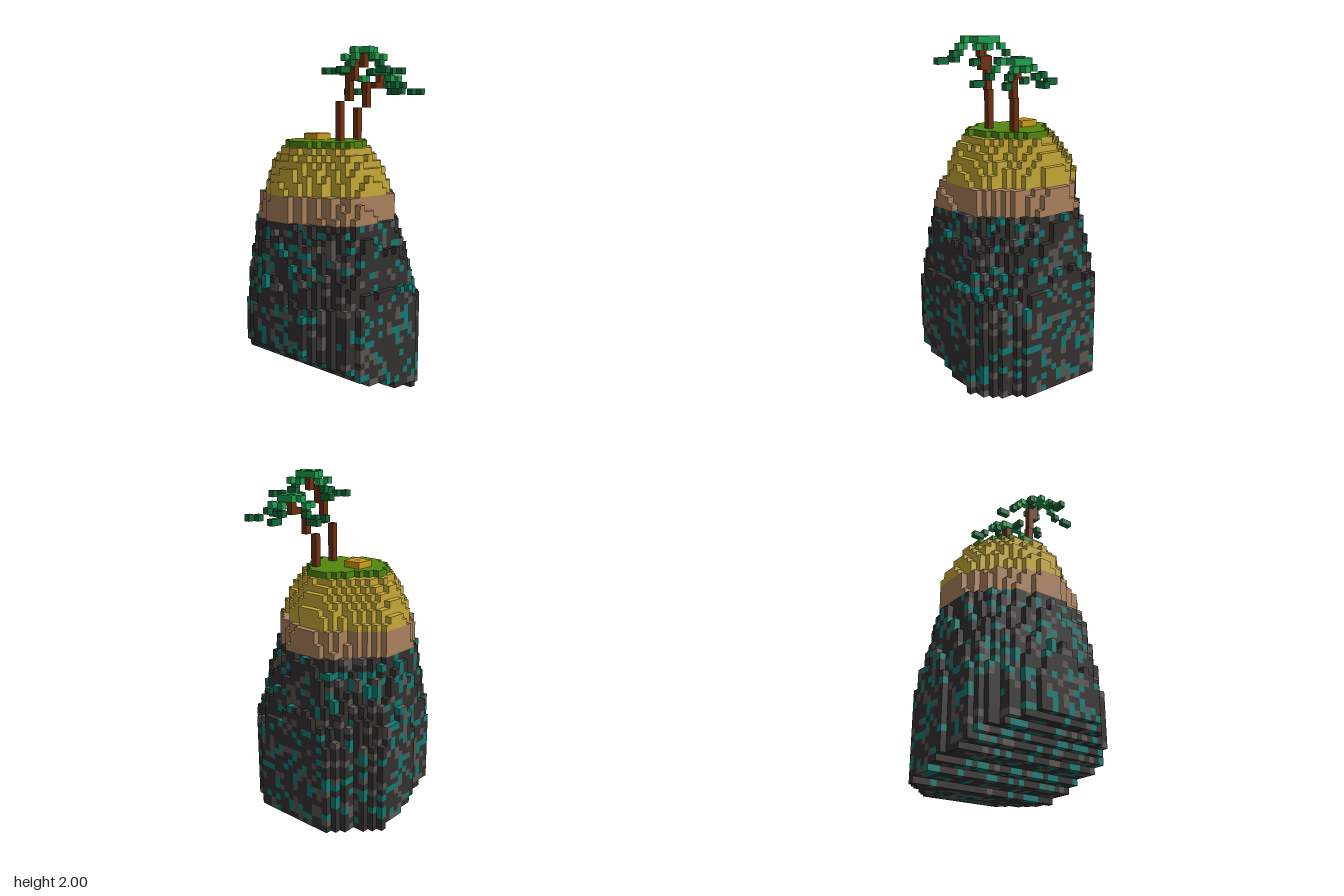
import * as THREE from 'three';

const V = 2 / 53; // voxel edge
const COLORS = {
  rock: 0x343130, greyRock: 0x595653, tealRock: 0x117a72, soil: 0xab825d, sand: 0xc8aa38,
  grass: 0x53880e, gold: 0xcd9f15, gem: 0xc9363c, trunk: 0x6f3110, leaf: 0x1ca350, leafTip: 0x126a38,
};

// Island outlines: radius in voxels at even angles, from +x towards +z
const BASE = [
  13, 13.25, 14.07, 14.43, 13.43, 13.83, 13.53, 12.74, 12.5, 12.74, 12.45, 12.7, 12.2, 13.5, 13, 12.4,
  13, 13.25, 14.07, 13.5, 13, 13.83, 13.53, 12.74, 12.5, 12.74, 13.53, 13.83, 14, 14.43, 14.07, 13.25,
];
const SOIL = [10.3, 11.8, 10.9, 9.9, 10.5, 10.3, 10.6, 10.8, 11, 10.8, 9.6, 11, 10.5, 10.1, 10, 10.8];
const SAND = [9.7, 10.2, 8.8, 9.6, 10.3, 9.8, 9.2, 10.1, 10.9, 10.7, 9.3, 10, 9.5, 9, 8.5, 9.8];
const GRASS = [6.2, 7.1, 6, 6.2, 6.3, 6.5, 6.4, 6.7, 7, 5.6, 5.2, 6.2, 6.4, 6.3, 5.6, 5.7];

const hash = (x, y, z) => {
  let h = Math.imul(x + 71, 374761393) ^ Math.imul(y + 13, 668265263) ^ Math.imul(z + 37, 1274126177);
  h = Math.imul(h ^ (h >>> 13), 1103515245);
  h = Math.imul(h ^ (h >>> 15), 2246822519);
  return ((h ^ (h >>> 16)) >>> 0) / 4294967296;
};

const radiusAt = (outline, x, z) => {
  const count = outline.length;
  const a = ((Math.atan2(z, x) / (Math.PI * 2) + 1) % 1) * count;
  const i = Math.floor(a) % count;
  return THREE.MathUtils.lerp(outline[i], outline[(i + 1) % count], a - Math.floor(a));
};

// Radius of the island at a layer, blended between outlines
function islandRadius(layer, x, z) {
  const base = radiusAt(BASE, x, z), soil = radiusAt(SOIL, x, z);
  if (layer < 14) return base;
  if (layer < 27) return THREE.MathUtils.lerp(base, soil + 0.4, (layer - 13) / 13);
  const sand = radiusAt(SAND, x, z);
  if (layer < 31) return THREE.MathUtils.lerp(soil, sand, (layer - 27) / 8);
  return THREE.MathUtils.lerp(sand, radiusAt(GRASS, x, z), Math.pow((layer - 31) / 7, 1.6));
}

// Underside rises in steps towards the front
function bottomLayer(z) {
  if (z <= -6) return 0;
  if (z <= -2) return 1;
  if (z <= 0) return 2;
  if (z <= 4) return 3;
  if (z <= 6) return 4;
  if (z <= 7) return 5;
  return z <= 9 ? 6 : z <= 11 ? 7 : 8;
}

function rockKind(x, y, z) {
  const h = hash(x, y, z);
  return h < 0.19 ? 'tealRock' : h < 0.35 ? 'greyRock' : 'rock';
}

// One mesh holding the exposed faces of all voxels of a kind
function voxelMesh(name, color, cells, filled) {
  const pos = [], nor = [], idx = [];
  for (const c of cells) {
    const centre = [(c[0] + 0.5) * V, (c[1] + 0.5) * V, c[2] * V];
    for (let axis = 0; axis < 3; axis++) {
      for (const s of [-1, 1]) {
        const n = [0, 0, 0];
        n[axis] = s;
        if (filled.has(c.map((v, i) => v + n[i]).join())) continue;
        const u = (axis + 1) % 3, w = (axis + 2) % 3, first = pos.length / 3;
        for (const [a, b] of [[-1, -1], [1, -1], [1, 1], [-1, 1]]) {
          const p = [...centre];
          p[axis] += s * V / 2;
          p[u] += a * s * V / 2;
          p[w] += b * V / 2;
          pos.push(...p);
          nor.push(...n);
        }
        idx.push(first, first + 1, first + 2, first, first + 2, first + 3);
      }
    }
  }
  const geometry = new THREE.BufferGeometry();
  geometry.setAttribute('position', new THREE.Float32BufferAttribute(pos, 3));
  geometry.setAttribute('normal', new THREE.Float32BufferAttribute(nor, 3));
  geometry.setIndex(idx);
  const mesh = new THREE.Mesh(geometry, new THREE.MeshStandardMaterial({ color }));
  mesh.name = name;
  return mesh;
}

export function createModel() {
  const filled = new Map();
  const put = (x, y, z, kind) => filled.set([x, y, z].join(), { cell: [x, y, z], kind });

  // Island: rock, soil band, sand dome and grass cap
  for (let y = 0; y < 39; y++) {
    for (let x = -13; x < 13; x++) {
      for (let z = -12; z <= 12; z++) {
        if (y < bottomLayer(z)) continue;
        const rough = y > 14 && y < 38 ? (hash(x, 99, z) - 0.5) * 0.4 : 0;
        if (Math.hypot(x + 0.5, z) > islandRadius(y, x + 0.5, z) + rough) continue;
        put(x, y, z, y < 27 ? rockKind(x, y, z) : y < 31 ? 'soil' : y < 38 ? 'sand' : 'grass');
      }
    }
  }

  // Gold slab with a red centre
  for (let x = -4; x < -1; x++) {
    for (let z = -1; z <= 1; z++) put(x, 39, z, x === -3 && z === 0 ? 'gem' : 'gold');
  }

  // Palms: trunk pieces [x, z, from, to], crown [x, top, z], frond tips [x, z]
  const palms = [
    {
      trunk: [[3, 1, 39, 44], [4, 0, 45, 49], [5, 0, 48, 50], [6, -1, 50, 51]],
      crown: [6, 52, -1],
      tips: [[12, 1], [7, 5], [2, 3], [0, -3], [5, -5], [10, -5]],
    },
    {
      trunk: [[2, -4, 39, 43], [3, -5, 44, 47], [4, -6, 47, 47], [4, -7, 47, 48]],
      crown: [4, 49, -7],
      tips: [[-2, -8], [3, -12], [9, -11], [10, -5], [0, -4]],
    },
  ];
  for (const { trunk, crown, tips } of palms) {
    const [cx, top, cz] = crown;
    for (const [tx, tz] of tips) {
      const steps = Math.max(Math.abs(tx - cx), Math.abs(tz - cz));
      for (let i = 1; i <= steps; i++) {
        const t = i / steps;
        const x = Math.round(cx + (tx - cx) * t), z = Math.round(cz + (tz - cz) * t);
        const drop = t < 0.4 ? 0 : t < 0.55 ? 1 : t < 0.75 ? 2 : 3;
        put(x, top - drop, z, drop < 2 ? 'leaf' : 'leafTip');
      }
    }
    // Leaves ringing the open top of the trunk
    for (let dx = -1; dx <= 1; dx++) {
      for (let dz = -1; dz <= 1; dz++) {
        if (dx || dz) put(cx + dx, top, cz + dz, 'leaf');
      }
    }
    for (const [x, z, from, to] of trunk) {
      for (let y = from; y <= to; y++) put(x, y, z, 'trunk');
    }
  }

  const group = new THREE.Group();
  group.name = 'palmIsland';
  for (const [kind, color] of Object.entries(COLORS)) {
    const cells = [...filled.values()].filter((v) => v.kind === kind).map((v) => v.cell);
    group.add(voxelMesh(kind, color, cells, filled));
  }
  return group;
}
